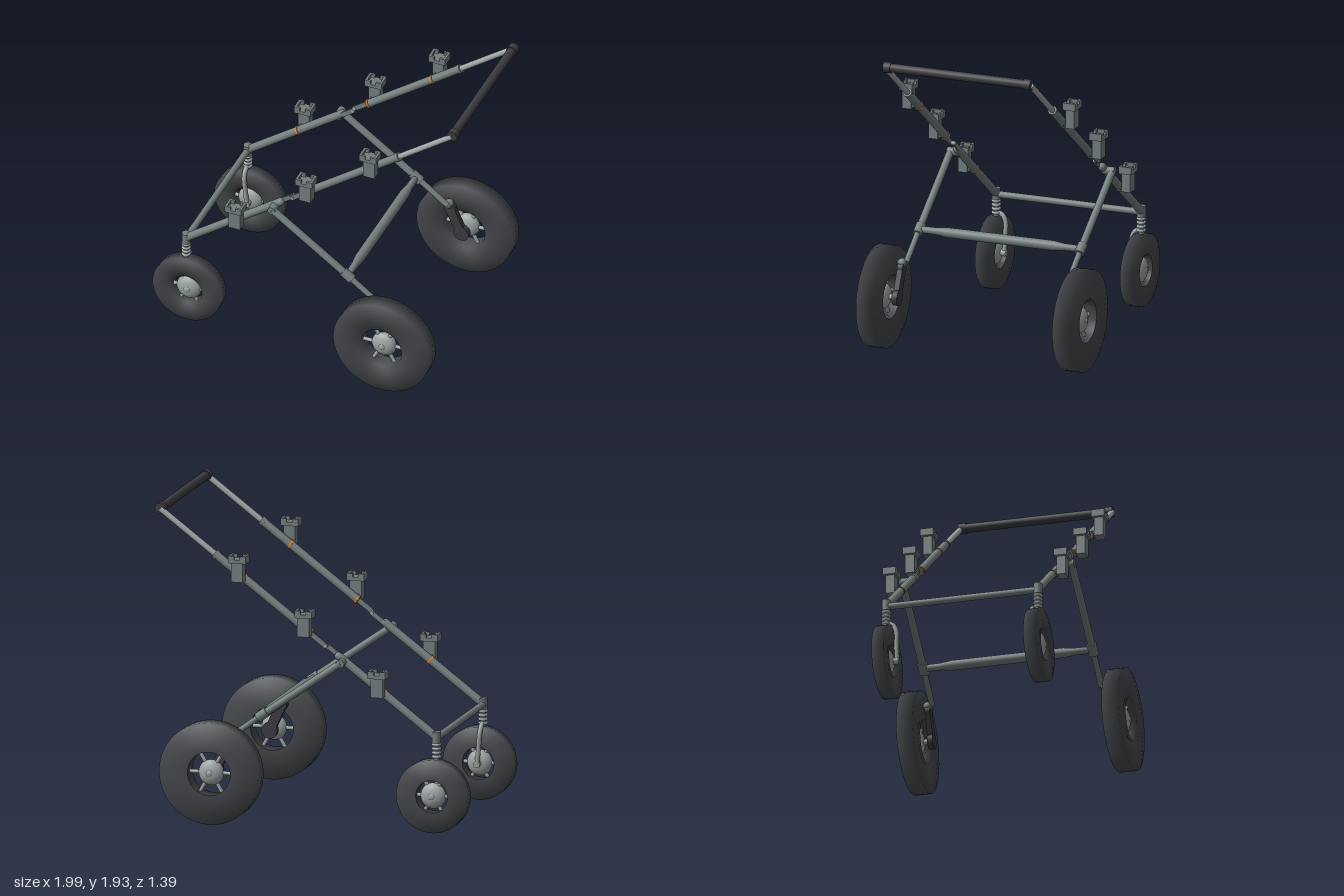
import * as THREE from 'three';

const mat = (name, color) => Object.assign(new THREE.MeshStandardMaterial({ color }), { name });

export function createModel() {
  const frame = mat('frame grey', 0x74807f);
  const light = mat('light metal', 0x9da5a4);
  const tyre = mat('tyre rubber', 0x45474b);
  const dark = mat('dark grip', 0x3c3c41);
  const orange = mat('orange clamp', 0xd07f30);

  const root = new THREE.Group();
  root.name = 'walkerFrame';
  const V = (x, y, z) => new THREE.Vector3(x, y, z);
  const add = (name, geo, m, parent = root, p = V(0, 0, 0)) => {
    const mesh = new THREE.Mesh(geo, m);
    mesh.name = name;
    mesh.position.copy(p);
    parent.add(mesh);
    return mesh;
  };
  // round bar between two points, r0 at a and r1 at b
  const bar = (name, a, b, r0, m, parent = root, r1 = r0) => {
    const d = b.clone().sub(a);
    const mesh = add(name, new THREE.CylinderGeometry(r1, r0, d.length(), 20), m, parent, a.clone().add(b).multiplyScalar(0.5));
    mesh.quaternion.setFromUnitVectors(V(0, 1, 0), d.normalize());
    return mesh;
  };
  const ball = (name, p, r, m, parent = root) => add(name, new THREE.SphereGeometry(r, 20, 14), m, parent, p);

  // the main rail follows one straight slope
  const rail = (x, z) => V(x, 0.59 + (x + 0.79) * 0.743, z);
  const slope = Math.atan(0.743);

  function wheel(name, x, z, R, hole, width, s) {
    const g = new THREE.Group();
    g.name = name;
    g.position.set(x, R, z);
    root.add(g);
    const h = width / 2;
    const profile = [[hole, -h], [R, -h], [R, h], [hole, h], [hole, -h]].map(([a, b]) => new THREE.Vector2(a, b));
    add('tyre', new THREE.LatheGeometry(profile, 56), tyre, g).rotation.x = Math.PI / 2;
    const hub = ball('hub', V(0, 0, 0), 0.08, light, g);
    hub.scale.z = 0.55;
    ball('hubCap', V(0, 0, s * 0.036), 0.022, light, g).scale.z = 0.6;
    for (let i = 0; i < 6; i++) {
      const a = (i * Math.PI) / 3;
      bar('spoke', V(0, 0, 0), V(Math.cos(a) * (hole + 0.01), Math.sin(a) * (hole + 0.01), 0), 0.012, light, g);
    }
  }

  // notched socket standing on the outside of the rail
  function bracket(x, s) {
    const g = new THREE.Group();
    g.name = 'bracket';
    const p = rail(x, s * 0.535);
    g.position.copy(p);
    root.add(g);
    const box = (n, w, h, d, px, py, pz = 0) => add(n, new THREE.BoxGeometry(w, h, d), frame, g, V(px, py, pz));
    box('body', 0.075, 0.125, 0.058, 0.003, 0.04);
    box('topPlate', 0.11, 0.022, 0.082, 0, 0.107);
    for (const k of [-1, 1]) {
      box('sideWall', 0.014, 0.024, 0.082, k * 0.048, 0.129);
      for (const j of [-1, 1]) box('lip', 0.026, 0.024, 0.014, k * 0.03, 0.129, j * 0.034);
    }
    box('mount', 0.04, 0.03, 0.04, 0, 0, -s * 0.035);
    const c = rail(x - 0.022, s * 0.475);
    const e = rail(x - 0.01, s * 0.475);
    bar('clamp', c, e, 0.0285, orange);
  }

  for (const s of [1, -1]) {
    const z = s * 0.475;

    // main rail with folding joint and thin upper tube
    bar('lowerRail', rail(-0.79, z), rail(-0.17, z), 0.025, frame);
    ball('lowerRailEnd', rail(-0.17, z), 0.025, frame);
    bar('upperRail', rail(0, z), rail(0.61, z), 0.025, frame);
    bar('railCollar', rail(0.595, z), rail(0.615, z), 0.028, frame);
    bar('handleTube', rail(0.6, z), V(0.96, 1.89, z), 0.018, light);
    add('hingePlate', new THREE.BoxGeometry(0.13, 0.032, 0.01), frame, root, rail(-0.045, s * 0.482)).rotation.z = slope;
    add('hingeLug', new THREE.BoxGeometry(0.1, 0.03, 0.012), frame, root, rail(-0.13, s * 0.46)).rotation.z = slope;
    bar('hingePin', rail(-0.09, s * 0.45), rail(-0.09, s * 0.492), 0.012, light);
    for (const x of [-0.44, 0.025, 0.445]) bracket(x, s);

    // handle grip end
    bar('gripEnd', V(0.96, 1.893, s * 0.435), V(0.96, 1.893, s * 0.482), 0.034, dark);

    // rear leg, pivot and cross sleeve
    const lz = s * 0.53;
    const knee = V(0.3, 0.665, lz);
    bar('legPivot', V(-0.2, 1.02, s * 0.47), V(-0.2, 1.02, s * 0.548), 0.026, frame);
    bar('rearLeg', V(-0.2, 1.02, lz), knee, 0.023, frame);
    bar('legSleeve', V(0.265, 0.69, lz), V(0.325, 0.647, lz), 0.03, frame);
    bar('lowerLeg', knee, V(0.5, 0.515, lz), 0.018, frame);
    ball('legJoint', V(0.5, 0.51, s * 0.555), 0.03, frame);
    bar('jointPin', V(0.5, 0.51, lz), V(0.5, 0.51, s * 0.585), 0.018, light);

    // swing arm to the rear axle
    const top = V(0.51, 0.48, s * 0.555), axle = V(0.585, 0.315, s * 0.555);
    const disc = (n, p, r) => bar(n, p.clone().add(V(0, 0, -0.017)), p.clone().add(V(0, 0, 0.017)), r, dark);
    disc('armTop', top, 0.036);
    disc('armEnd', axle, 0.05);
    const arm = add('swingArm', new THREE.BoxGeometry(0.062, top.distanceTo(axle), 0.034), dark, root, top.clone().add(axle).multiplyScalar(0.5));
    arm.rotation.z = Math.atan2(axle.x - top.x, top.y - axle.y);
    bar('rearAxle', axle, V(0.585, 0.315, s * 0.64), 0.018, light);
    wheel('rearWheel', 0.585, s * 0.643, 0.315, 0.135, 0.104, s);

    // front head, spring and single-sided fork
    bar('forkHead', V(-0.79, 0.555, z), V(-0.79, 0.625, z), 0.027, frame);
    bar('forkStem', V(-0.79, 0.45, z), V(-0.79, 0.57, z), 0.018, light);
    for (let i = 0; i < 4; i++) {
      add('springCoil', new THREE.TorusGeometry(0.021, 0.009, 8, 20), light, root, V(-0.79, 0.47 + i * 0.025, z)).rotation.x = Math.PI / 2;
    }
    const fork = new THREE.CatmullRomCurve3([
      V(-0.79, 0.468, z), V(-0.79, 0.463, s * 0.44), V(-0.788, 0.42, s * 0.414), V(-0.78, 0.32, s * 0.413), V(-0.77, 0.225, s * 0.413)]);
    add('forkArm', new THREE.TubeGeometry(fork, 28, 0.015, 12), light);
    bar('frontAxle', V(-0.77, 0.225, s * 0.4), V(-0.77, 0.225, z), 0.021, light);
    wheel('frontWheel', -0.77, z, 0.225, 0.1, 0.078, s);
  }

  // cross members
  bar('handleGrip', V(0.96, 1.893, -0.45), V(0.96, 1.893, 0.45), 0.028, dark);
  bar('frontCrossbar', V(-0.79, 0.585, -0.475), V(-0.79, 0.585, 0.475), 0.021, frame);
  const crossProfile = [[0, -0.53], [0.021, -0.53], [0.022, -0.42], [0.031, -0.35], [0.031, 0.35], [0.022, 0.42], [0.021, 0.53], [0, 0.53]];
  add('rearCrossbar', new THREE.LatheGeometry(crossProfile.map(([a, b]) => new THREE.Vector2(a, b)), 24), frame, root, V(0.295, 0.668, 0)).rotation.x = Math.PI / 2;

  return root;
}
